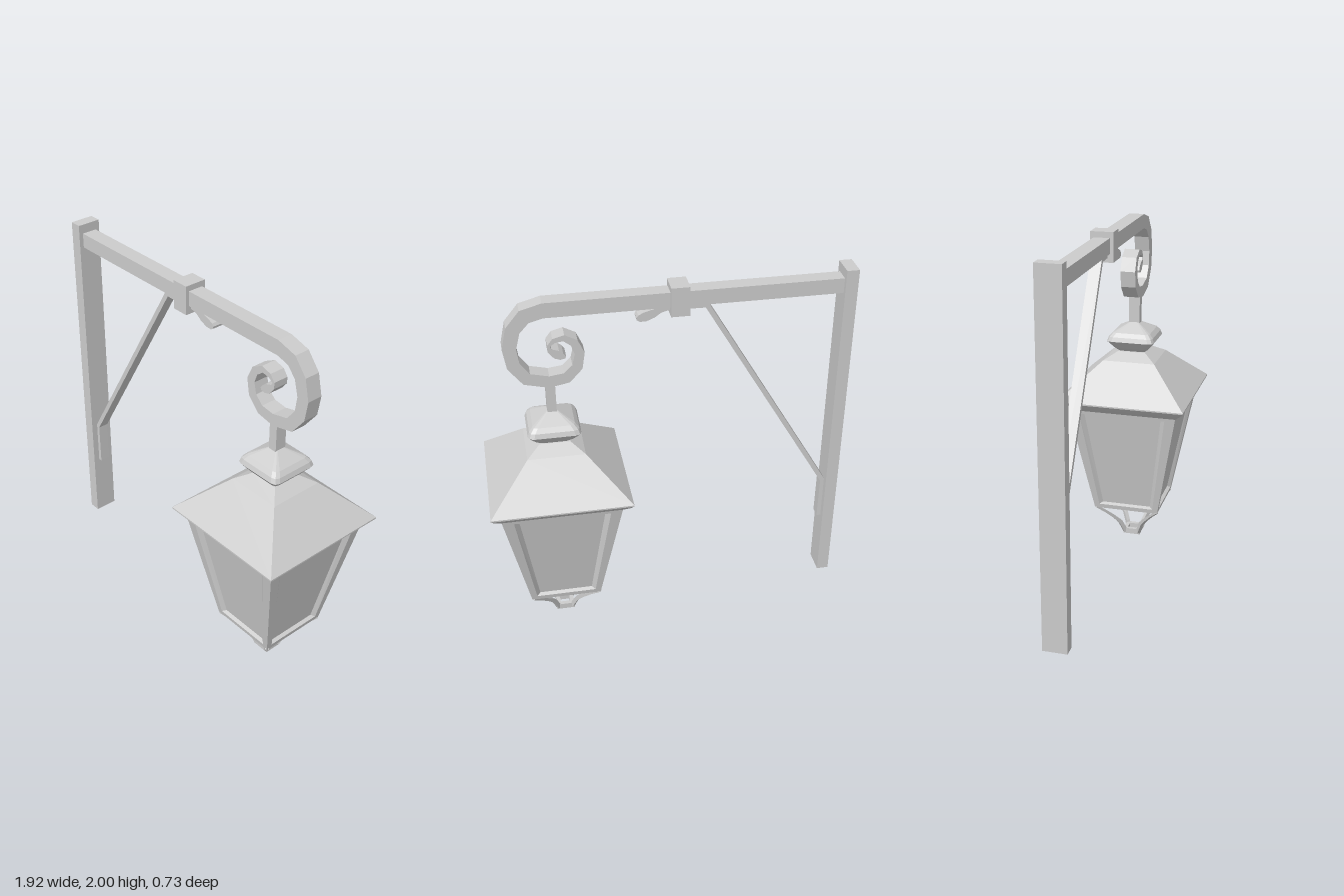
import * as THREE from 'three';

const material = new THREE.MeshStandardMaterial({ color: 0xcccccc, flatShading: true, side: THREE.DoubleSide });

function add(parent, name, geometry, x = 0, y = 0, z = 0) {
  const mesh = new THREE.Mesh(geometry, material);
  mesh.name = name;
  mesh.position.set(x, y, z);
  parent.add(mesh);
  return mesh;
}

// Flat bar following a centreline of [x, y, halfThickness], extruded symmetrically in z
function bar(path, width) {
  const a = [], b = [];
  path.forEach(([x, y, t], i) => {
    const p = path[Math.max(i - 1, 0)], n = path[Math.min(i + 1, path.length - 1)];
    const d = new THREE.Vector2(n[0] - p[0], n[1] - p[1]).normalize();
    a.push(new THREE.Vector2(x - d.y * t, y + d.x * t));
    b.unshift(new THREE.Vector2(x + d.y * t, y - d.x * t));
  });
  return new THREE.ExtrudeGeometry(new THREE.Shape([...a, ...b]), { depth: width, bevelEnabled: false })
    .translate(0, 0, -width / 2);
}

// Square turning: profile of [halfWidth, y]
function squareLathe(profile) {
  const pts = profile.map(([h, y]) => new THREE.Vector2(h * Math.SQRT2, y));
  return new THREE.LatheGeometry(pts, 4, Math.PI / 4);
}

// Square turning with softened corners: three columns of vertices per corner
function softSquareLathe(profile) {
  const geo = new THREE.LatheGeometry(profile.map(([h, y]) => new THREE.Vector2(h, y)), 12);
  const pos = geo.attributes.position;
  for (let v = 0; v < pos.count; v++) {
    const column = Math.floor(v / profile.length), [h, y] = profile[v % profile.length];
    const k = column % 3 - 1;
    const angle = Math.PI / 4 + Math.floor(column / 3) * Math.PI / 2 + k * 0.13;
    const r = k === 0 ? h * 1.33 : h / Math.cos(Math.PI / 4 - 0.13);
    pos.setXYZ(v, r * Math.sin(angle), y, r * Math.cos(angle));
  }
  return geo;
}

// Lantern side: outer trapezoid, bevelled opening, recessed pane
function sidePanel(bottom, top, length) {
  const loop = (b, t, y0, y1, z) => [[-b, y0, z], [b, y0, z], [t, y1, z], [-t, y1, z]];
  const loops = [
    loop(bottom, top, 0, length, 0),
    loop(bottom - 0.028, top - 0.062, 0.026, length - 0.018, 0),
    loop(bottom - 0.047, top - 0.088, 0.032, length - 0.024, -0.02),
  ];
  const index = [];
  for (let l = 0; l < 2; l++) {
    for (let i = 0; i < 4; i++) {
      const a = l * 4 + i, b = l * 4 + (i + 1) % 4;
      index.push(a, b, b + 4, a, b + 4, a + 4);
    }
  }
  index.push(8, 9, 10, 8, 10, 11);
  const geo = new THREE.BufferGeometry();
  geo.setAttribute('position', new THREE.Float32BufferAttribute(loops.flat(2), 3));
  geo.setIndex(index);
  geo.computeVertexNormals();
  return geo;
}

export function createModel() {
  const model = new THREE.Group();
  model.name = 'wallLantern';

  // Wall bracket
  const bracket = new THREE.Group();
  bracket.name = 'bracket';
  model.add(bracket);
  add(bracket, 'wallPlate', new THREE.BoxGeometry(0.065, 1.92, 0.13), -0.93, 1.04, 0);
  add(bracket, 'scrollArm', bar([
    [-0.9, 1.91, 0.04], [0.61, 1.91, 0.04], [0.7, 1.885, 0.04], [0.76, 1.815, 0.037],
    [0.784, 1.715, 0.035], [0.77, 1.62, 0.034], [0.71, 1.54, 0.034], [0.6, 1.513, 0.033],
    [0.51, 1.528, 0.031], [0.455, 1.585, 0.028], [0.44, 1.66, 0.025], [0.465, 1.722, 0.022],
    [0.515, 1.753, 0.017], [0.565, 1.742, 0.013], [0.592, 1.715, 0.007], [0.588, 1.69, 0.012],
    [0.555, 1.665, 0.024], [0.53, 1.652, 0.02], [0.51, 1.645, 0.006],
  ], 0.084));
  add(bracket, 'collar', new THREE.BoxGeometry(0.095, 0.155, 0.12), -0.063, 1.903, 0);
  add(bracket, 'brace', bar([
    [-0.8875, 0.455, 0.0125], [-0.8875, 0.705, 0.0125], [-0.205, 1.855, 0.0125], [-0.06, 1.862, 0.0125],
  ], 0.06));
  add(bracket, 'leaf', bar([
    [-0.02, 1.862, 0.008], [0.03, 1.855, 0.014], [0.07, 1.838, 0.023],
    [0.11, 1.824, 0.025], [0.14, 1.817, 0.018], [0.152, 1.815, 0.006],
  ], 0.06));

  // Lantern hanging below the scroll
  const lantern = new THREE.Group();
  lantern.name = 'lantern';
  lantern.position.x = 0.595;
  model.add(lantern);
  add(lantern, 'stem', new THREE.BoxGeometry(0.048, 0.19, 0.064), 0, 1.405, 0);
  add(lantern, 'finial', softSquareLathe([
    [0.0, 1.17], [0.078, 1.175], [0.1, 1.195], [0.137, 1.24], [0.128, 1.265], [0.108, 1.287], [0.025, 1.335], [0, 1.335],
  ]));
  add(lantern, 'roof', squareLathe([
    [0, 0.87], [0.312, 0.87], [0.345, 0.9], [0.365, 0.922], [0.365, 0.93], [0.15, 1.13], [0.08, 1.172], [0, 1.175],
  ]));

  // Four tapered glazed sides
  const low = 0.19, high = 0.312, rise = 0.65;
  const length = Math.hypot(rise, high - low);
  for (let i = 0; i < 4; i++) {
    const side = new THREE.Group();
    side.name = 'lanternSide';
    side.rotation.y = i * Math.PI / 2;
    lantern.add(side);
    const panel = add(side, 'framedPane', sidePanel(low, high, length), 0, 0.22, low);
    panel.rotation.x = Math.atan2(high - low, rise);
  }
  add(lantern, 'floor', squareLathe([[0, 0.27], [0.165, 0.235], [0.168, 0.22], [low, 0.22]]));

  // Curved straps gathering into a small square ring
  for (let i = 0; i < 4; i++) {
    const strap = add(lantern, 'bottomStrap', bar([
      [0.262, 0.224, 0.006], [0.2, 0.178, 0.007], [0.14, 0.128, 0.009],
      [0.095, 0.085, 0.011], [0.07, 0.04, 0.011], [0.058, 0.01, 0.01],
    ], 0.022));
    strap.rotation.y = Math.PI / 4 + i * Math.PI / 2;
  }
  const square = (h) => [[-h, -h], [h, -h], [h, h], [-h, h]].map(([x, y]) => new THREE.Vector2(x, y));
  const ring = new THREE.Shape(square(0.05));
  ring.holes.push(new THREE.Path(square(0.027)));
  add(lantern, 'bottomRing', new THREE.ExtrudeGeometry(ring, { depth: 0.033, bevelEnabled: false }).rotateX(-Math.PI / 2));

  return model;
}
